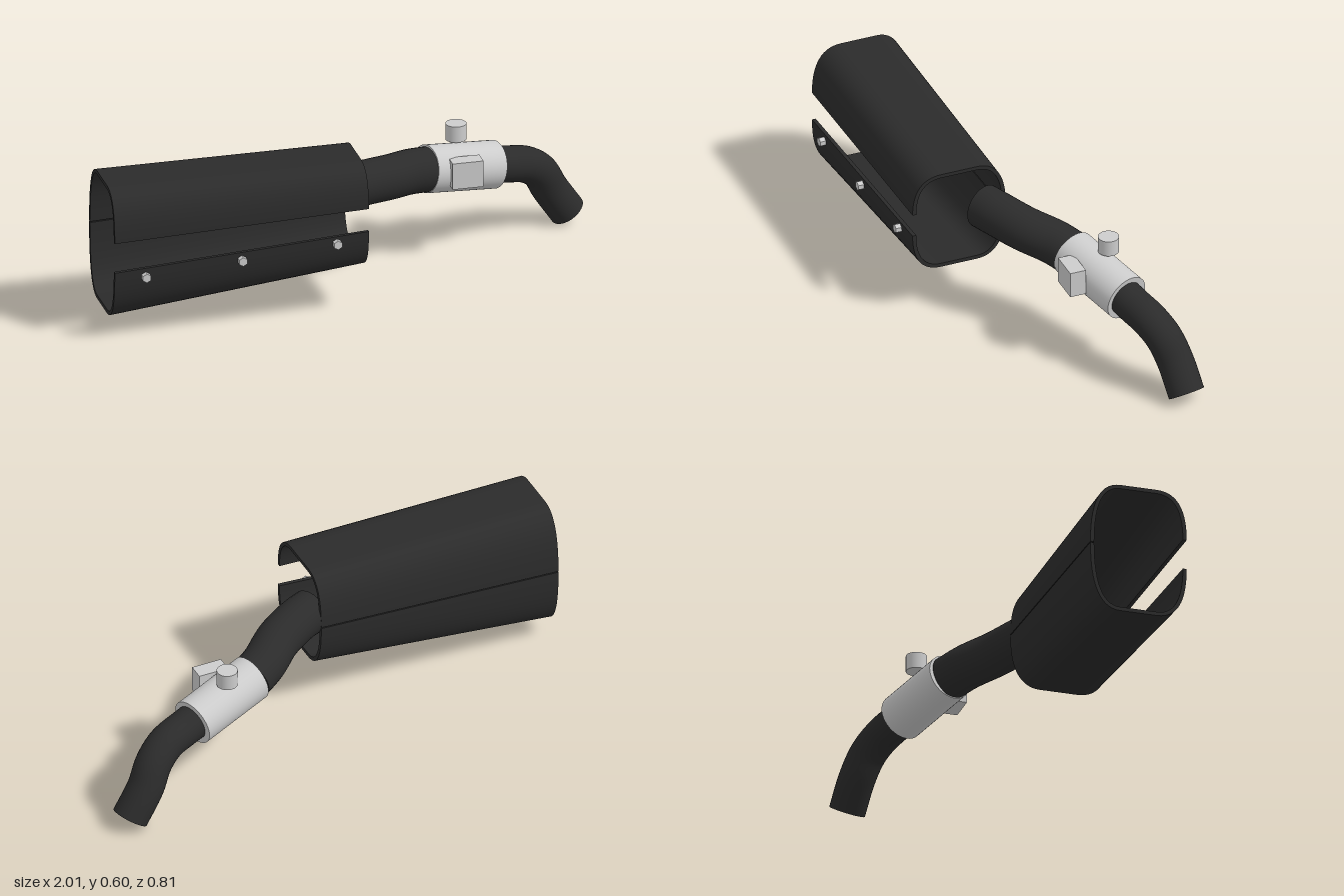
import * as THREE from 'three';
import { toCreasedNormals } from 'three/addons/utils/BufferGeometryUtils.js';

const V = (x, y, z) => new THREE.Vector3(x, y, z);

export function createModel() {
  const root = new THREE.Group();
  const dark = new THREE.MeshStandardMaterial({ color: 0x2b2b2b });
  dark.name = 'blackSteel';
  const grey = new THREE.MeshStandardMaterial({ color: 0xcccccc });
  grey.name = 'lightGreyMetal';

  const add = (name, geometry, material, parent = root) => {
    const mesh = new THREE.Mesh(geometry, material);
    mesh.name = name;
    parent.add(mesh);
    return mesh;
  };

  // Half of a rounded-square wall, from the front slot round to the back seam
  function wall(slotY, seamY, edgeY, inset) {
    const z0 = 0.002 + inset, z1 = 0.383 - inset;
    const e = edgeY - Math.sign(edgeY - slotY) * inset;
    const path = new THREE.CurvePath();
    const P = (z, y) => new THREE.Vector2(z, y);
    const points = [
      ...new THREE.QuadraticBezierCurve(P(z1, slotY), P(z1, e), P(0.265, e)).getPoints(14),
      ...new THREE.QuadraticBezierCurve(P(0.12, e), P(z0, e), P(z0, seamY)).getPoints(14),
    ];
    return points;
  }

  // Loft a thick half shell between its outer end (x = -1) and inner end
  function halfShell(a, b, flip) {
    const ends = [[-1, a], [-0.01, b]].map(([x, p]) =>
      [0, 0.015].map((inset) => wall(...p, inset).map((q) => V(x, q.y, q.x))));
    const pos = [];
    const quad = (p, q, r, s) => {
      const order = flip ? [p, r, q, p, s, r] : [p, q, r, p, r, s];
      order.forEach((v) => pos.push(v.x, v.y, v.z));
    };
    const [[ao, ai], [bo, bi]] = ends;
    const n = ao.length - 1;
    for (let i = 0; i < n; i++) {
      const j = i + 1;
      quad(ao[i], bo[i], bo[j], ao[j]); // outside
      quad(ai[j], bi[j], bi[i], ai[i]); // inside
      quad(ai[i], ao[i], ao[j], ai[j]); // outer rim
      quad(bo[i], bi[i], bi[j], bo[j]); // inner rim
    }
    quad(ai[0], bi[0], bo[0], ao[0]); // slot edge
    quad(ao[n], bo[n], bi[n], ai[n]); // seam edge
    const g = new THREE.BufferGeometry();
    g.setAttribute('position', new THREE.Float32BufferAttribute(pos, 3));
    return toCreasedNormals(g, 0.6);
  }

  // Each end is [slot height, seam height, top or bottom height]
  add('upperShell', halfShell([0.42, 0.362, 0.612], [0.457, 0.412, 0.612], false), dark);
  add('lowerShell', halfShell([0.30, 0.358, 0.09], [0.365, 0.408, 0.2], true), dark);

  // Hexagonal bolts along the lower shell
  [[-0.88, 0.275], [-0.505, 0.302], [-0.135, 0.33]].forEach(([x, y]) => {
    const bolt = add('bolt', new THREE.CylinderGeometry(0.018, 0.018, 0.03, 6).toNonIndexed(), grey);
    bolt.geometry.computeVertexNormals();
    bolt.rotation.x = Math.PI / 2;
    bolt.position.set(x, y, 0.39);
  });

  // Bent pipe with closed ends
  function pipe(name, points, radius) {
    const group = new THREE.Group();
    group.name = name;
    root.add(group);
    const curve = new THREE.CatmullRomCurve3(points);
    add(name + 'Tube', new THREE.TubeGeometry(curve, 40, radius, 32), dark, group);
    [0, 1].forEach((t) => {
      const cap = add(name + 'Cap', new THREE.CircleGeometry(radius, 32), dark, group);
      const dir = curve.getTangentAt(t).multiplyScalar(t ? 1 : -1);
      cap.quaternion.setFromUnitVectors(V(0, 0, 1), dir);
      cap.position.copy(curve.getPointAt(t));
    });
  }
  pipe('inletPipe', [
    V(-0.01, 0.43, 0.095), V(0.06, 0.428, 0.065), V(0.17, 0.413, 0.003),
    V(0.27, 0.39, -0.08), V(0.35, 0.372, -0.127),
  ], 0.086);
  pipe('bentPipe', [
    V(0.6, 0.331, -0.21), V(0.68, 0.314, -0.233), V(0.765, 0.293, -0.262),
    V(0.83, 0.245, -0.293), V(0.878, 0.162, -0.32), V(0.95, 0.055, -0.336),
  ], 0.07);

  // Collar joining the two pipes
  const start = V(0.343, 0.375, -0.125), end = V(0.635, 0.323, -0.222);
  const axis = end.clone().sub(start);
  const collar = add('collar', new THREE.CylinderGeometry(0.092, 0.092, axis.length(), 40), grey);
  collar.position.copy(start).add(end).multiplyScalar(0.5);
  collar.quaternion.setFromUnitVectors(V(0, 1, 0), axis.normalize());

  // Knob above and block in front of the collar
  add('knob', new THREE.CylinderGeometry(0.04, 0.04, 0.064, 32), grey).position.set(0.485, 0.48, -0.211);
  add('sensorBlock', new THREE.BoxGeometry(0.12, 0.105, 0.064), grey).position.set(0.485, 0.372, -0.062);

  return root;
}
